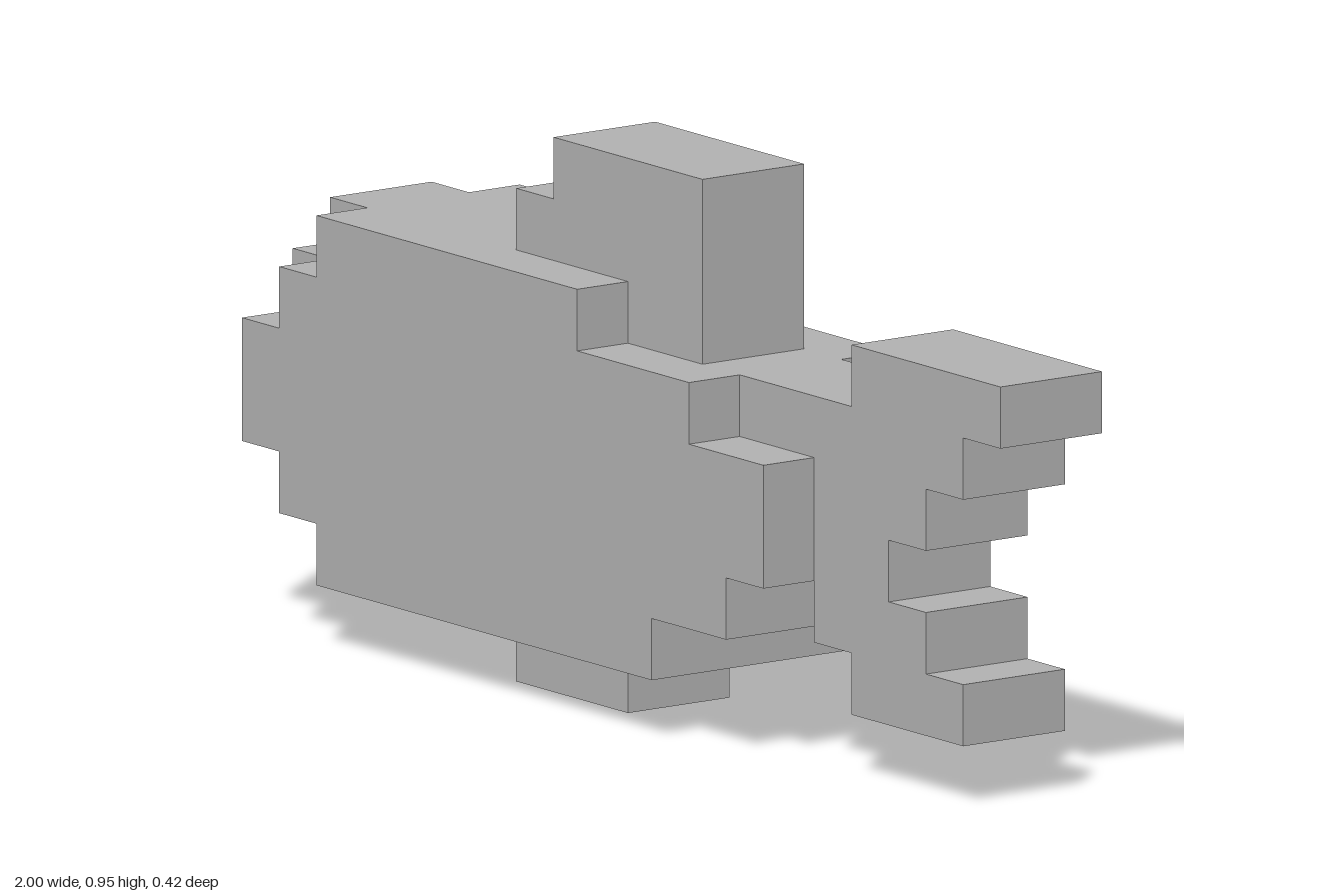
import * as THREE from 'three';

// One block of the stepped fish; the whole is 19 blocks long
const U = 2 / 19;

export function createModel() {
  const fish = new THREE.Group();
  fish.name = 'blockFish';
  const grey = new THREE.MeshStandardMaterial({ color: 0xb2b2b2 });
  grey.name = 'grey';

  // Extrudes a stepped outline, given in blocks, centred on z = 0
  function slab(name, outline, thickness) {
    const shape = new THREE.Shape(outline.map(([x, y]) => new THREE.Vector2(x * U - 1, y * U)));
    const geometry = new THREE.ExtrudeGeometry(shape, { depth: thickness * U, bevelEnabled: false });
    geometry.translate(0, 0, -thickness * U / 2);
    const mesh = new THREE.Mesh(geometry, grey);
    mesh.name = name;
    fish.add(mesh);
  }
  const rect = (x0, y0, x1, y1) => [[x0, y0], [x1, y0], [x1, y1], [x0, y1]];

  // Wide body with stepped head and rear
  slab('body', [
    [2, 1], [11, 1], [11, 2], [13, 2], [13, 3], [14, 3], [14, 5], [12, 5], [12, 6], [9, 6],
    [9, 7], [2, 7], [2, 6], [1, 6], [1, 5], [0, 5], [0, 3], [1, 3], [1, 2], [2, 2],
  ], 4);

  // Narrow blocks that round off the head, mirrored about mid-height
  for (const [x, y] of [[0, 2], [1, 1]]) {
    slab('lowerHeadStep', rect(x, y, x + 1, y + 1), 2);
    slab('upperHeadStep', rect(x, 7 - y, x + 1, 8 - y), 2);
  }

  // Fins
  slab('dorsalFin', [[6, 7], [9, 7], [9, 6], [11, 6], [11, 9], [7, 9], [7, 8], [6, 8]], 2);
  slab('bellyFin', rect(6, 0, 9, 1), 2);

  // Tail stem and forked tail fin
  slab('tail', [
    [12, 5], [14, 5], [14, 2], [15, 2], [15, 1], [18, 1], [18, 2], [17, 2], [17, 3], [16, 3],
    [16, 4], [17, 4], [17, 5], [18, 5], [18, 6], [19, 6], [19, 7], [15, 7], [15, 6], [12, 6],
  ], 2);

  return fish;
}
